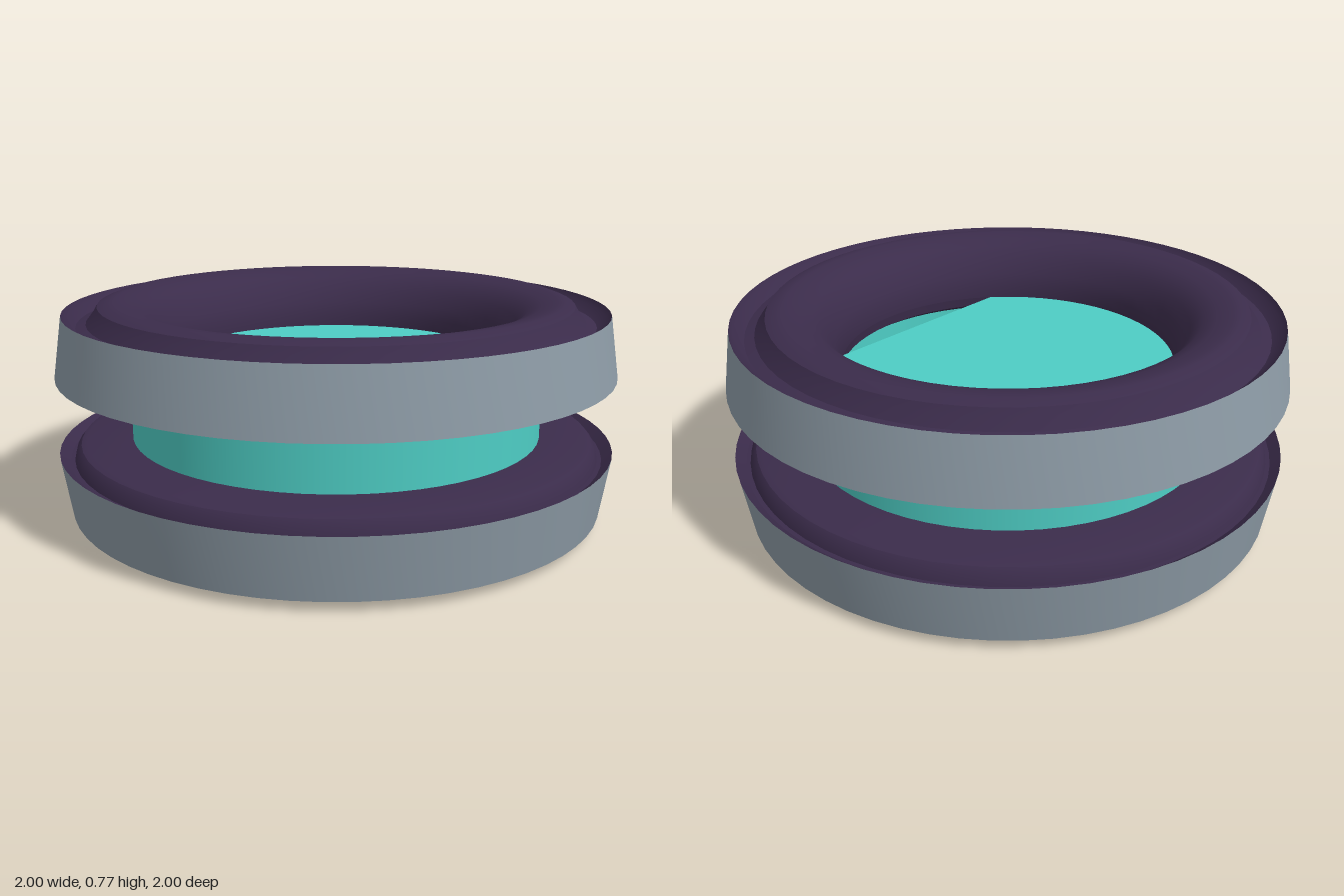
import * as THREE from 'three';
import { toCreasedNormals } from 'three/addons/utils/BufferGeometryUtils.js';

const SEGMENTS = 64;
const MID = 0.385; // height of the mirror plane between the two wheels

const material = (color) => new THREE.MeshStandardMaterial({ color, side: THREE.DoubleSide });

// Revolve a [radius, height] profile, keeping sharp edges sharp
function lathe(name, profile, mat) {
  const points = profile.map(([r, y]) => new THREE.Vector2(r, y - MID));
  const geometry = toCreasedNormals(new THREE.LatheGeometry(points, SEGMENTS), 0.5);
  const mesh = new THREE.Mesh(geometry, mat);
  mesh.name = name;
  return mesh;
}

// Hub disc with one segment cut off; "facing" is the direction of the cut
function cutDisc(name, y, radius, facing, mat) {
  const half = THREE.MathUtils.degToRad(53);
  const shape = new THREE.Shape();
  shape.absarc(0, 0, radius, facing + half, facing - half + Math.PI * 2, false);
  shape.closePath();
  const geometry = new THREE.ShapeGeometry(shape, SEGMENTS);
  geometry.rotateX(Math.PI / 2); // shape y becomes +z
  if (y > MID) {
    // turn the upper disc's faces upward
    const index = geometry.index.array;
    for (let i = 0; i < index.length; i += 3) {
      [index[i + 1], index[i + 2]] = [index[i + 2], index[i + 1]];
    }
    geometry.computeVertexNormals();
  }
  const mesh = new THREE.Mesh(geometry, mat);
  mesh.name = name;
  mesh.position.y = y;
  return mesh;
}

export function createModel() {
  const model = new THREE.Group();
  model.name = 'twinWheels';
  const bandMaterial = material(0x8d9ba6);
  const bodyMaterial = material(0x3b2c4b);
  const hubMaterial = material(0x4ecdc4);

  // Tapered tread
  const bandProfile = [[1, 0.52], [0.967, 0.735]];
  // Rounded body with a groove just inside the tread on both faces
  const bodyProfile = [
    [0.6, 0.545], [0.605, 0.51], [0.64, 0.49], [0.905, 0.49], [0.925, 0.497], [0.94, 0.515],
    [0.95, 0.55], [0.965, 0.55], [1, 0.52],
  ];
  const innerProfile = [
    [0.967, 0.735], [0.955, 0.715], [0.92, 0.69], [0.885, 0.7], [0.858, 0.735],
    [0.845, 0.757], [0.81, 0.77], [0.785, 0.77], [0.73, 0.757], [0.685, 0.738],
    [0.645, 0.695], [0.615, 0.64], [0.6, 0.59], [0.6, 0.545],
  ];

  for (const name of ['upperWheel', 'lowerWheel']) {
    const wheel = new THREE.Group();
    wheel.name = name;
    wheel.add(
      lathe('tread', bandProfile, bandMaterial),
      lathe('innerFace', bodyProfile, bodyMaterial),
      lathe('outerFace', innerProfile, bodyMaterial),
    );
    wheel.position.y = MID;
    if (name === 'lowerWheel') wheel.rotation.x = Math.PI;
    model.add(wheel);
  }

  // Hub joining the wheels, closed by two discs
  const top = 0.545, bottom = 2 * MID - top, radius = 0.745;
  const hub = new THREE.Mesh(
    new THREE.CylinderGeometry(radius, radius, top - bottom, SEGMENTS, 1, true), hubMaterial);
  hub.name = 'hub';
  hub.position.y = MID;
  const deg = THREE.MathUtils.degToRad;
  model.add(
    hub,
    cutDisc('upperHubDisc', top, radius, deg(72), hubMaterial),
    cutDisc('lowerHubDisc', bottom, radius, deg(84), hubMaterial),
  );
  return model;
}
